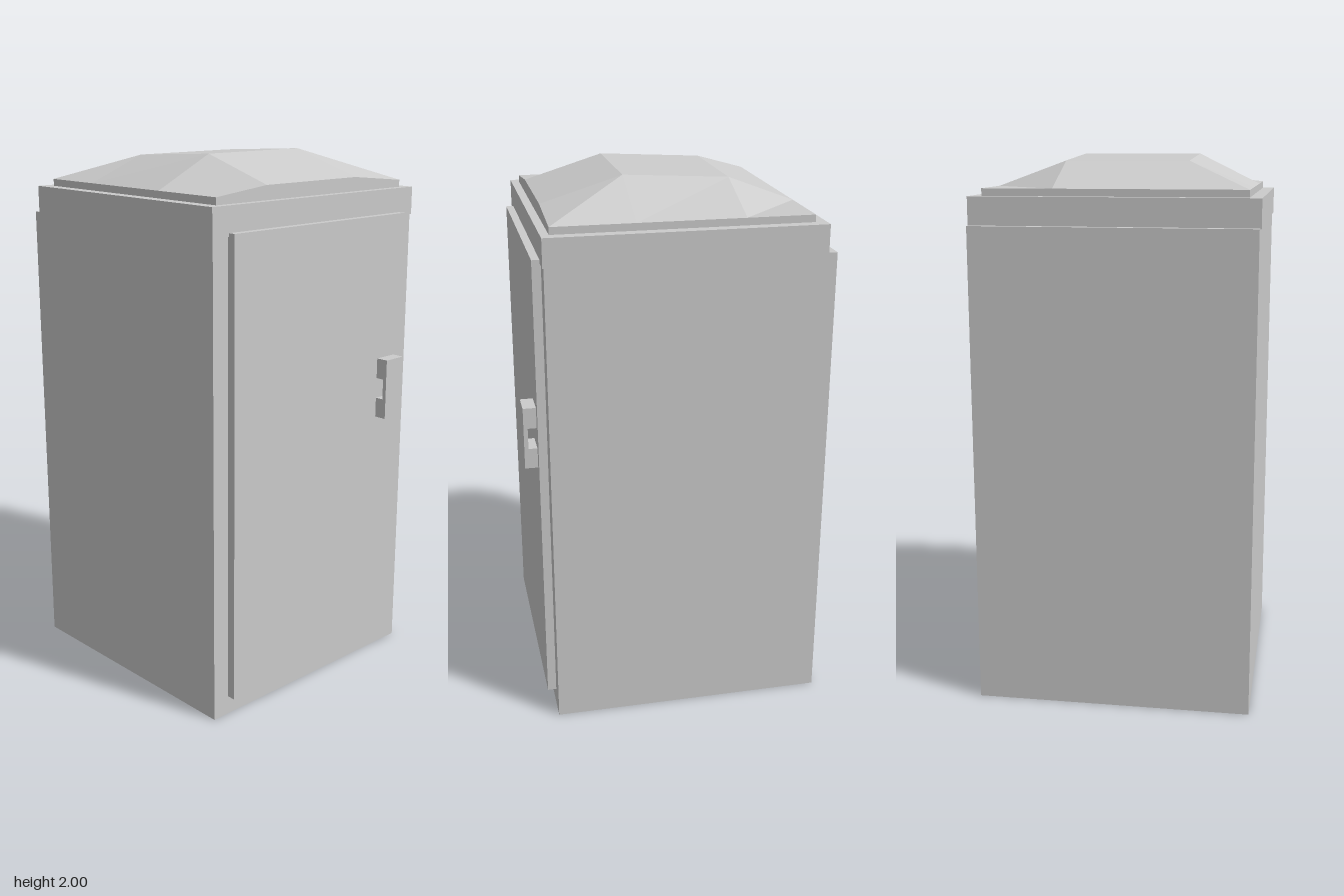
import * as THREE from 'three';

const material = new THREE.MeshStandardMaterial({ color: 0xcccccc, flatShading: true, side: THREE.DoubleSide });

function addMesh(group, name, geometry) {
  const mesh = new THREE.Mesh(geometry, material);
  mesh.name = name;
  group.add(mesh);
}

// Box given by its lowest and highest corners
function boxBetween([x0, y0, z0], [x1, y1, z1]) {
  return new THREE.BoxGeometry(x1 - x0, y1 - y0, z1 - z0)
    .translate((x0 + x1) / 2, (y0 + y1) / 2, (z0 + z1) / 2);
}

// Faceted cap: a 4 x 4 grid of heights with straight walls down to the rim
function roofCap() {
  const xs = [-0.467, -0.235, 0.215, 0.467];
  const zs = [-0.475, -0.232, 0.15, 0.443];
  const base = 1.86, edge = 1.886;
  const ridge = [edge, 1.978, 2, 1.911]; // heights along the middle, back to front
  const top = (i, j) => [xs[i], i === 0 || i === 3 ? edge : ridge[j], zs[j]];
  const low = (i, j) => [xs[i], base, zs[j]];
  const points = [];
  const quad = (a, b, c, d) => points.push(...a, ...b, ...c, ...a, ...c, ...d);

  for (let k = 0; k < 3; k++) {
    for (let j = 0; j < 3; j++) quad(top(k, j), top(k, j + 1), top(k + 1, j + 1), top(k + 1, j));
    quad(low(k, 3), low(k + 1, 3), top(k + 1, 3), top(k, 3)); // front wall
    quad(low(k + 1, 0), low(k, 0), top(k, 0), top(k + 1, 0)); // back wall
    quad(low(3, k + 1), low(3, k), top(3, k), top(3, k + 1)); // left wall
    quad(low(0, k), low(0, k + 1), top(0, k + 1), top(0, k)); // right wall
  }
  const geometry = new THREE.BufferGeometry();
  geometry.setAttribute('position', new THREE.Float32BufferAttribute(points, 3));
  geometry.computeVertexNormals();
  return geometry;
}

// C-shaped pull, drawn in profile (depth, height) and extruded across x
function doorHandle() {
  const profile = new THREE.Shape([
    [0.5, 1.0], [0.548, 1.0], [0.548, 1.23], [0.5, 1.23],
    [0.5, 1.153], [0.533, 1.153], [0.533, 1.075], [0.5, 1.075],
  ].map(([z, y]) => new THREE.Vector2(-z, y)));
  return new THREE.ExtrudeGeometry(profile, { depth: 0.095, bevelEnabled: false })
    .rotateY(Math.PI / 2)
    .translate(0.306, 0, 0);
}

export function createModel() {
  const group = new THREE.Group();
  group.name = 'cabin';
  addMesh(group, 'body', boxBetween([-0.506, 0, -0.547], [0.504, 1.76, 0.469]));
  addMesh(group, 'roofRim', boxBetween([-0.511, 1.758, -0.515], [0.508, 1.86, 0.473]));
  addMesh(group, 'roofCap', roofCap());
  addMesh(group, 'door', boxBetween([-0.438, 0.07, 0.465], [0.434, 1.77, 0.501]));
  addMesh(group, 'doorHandle', doorHandle());
  return group;
}
